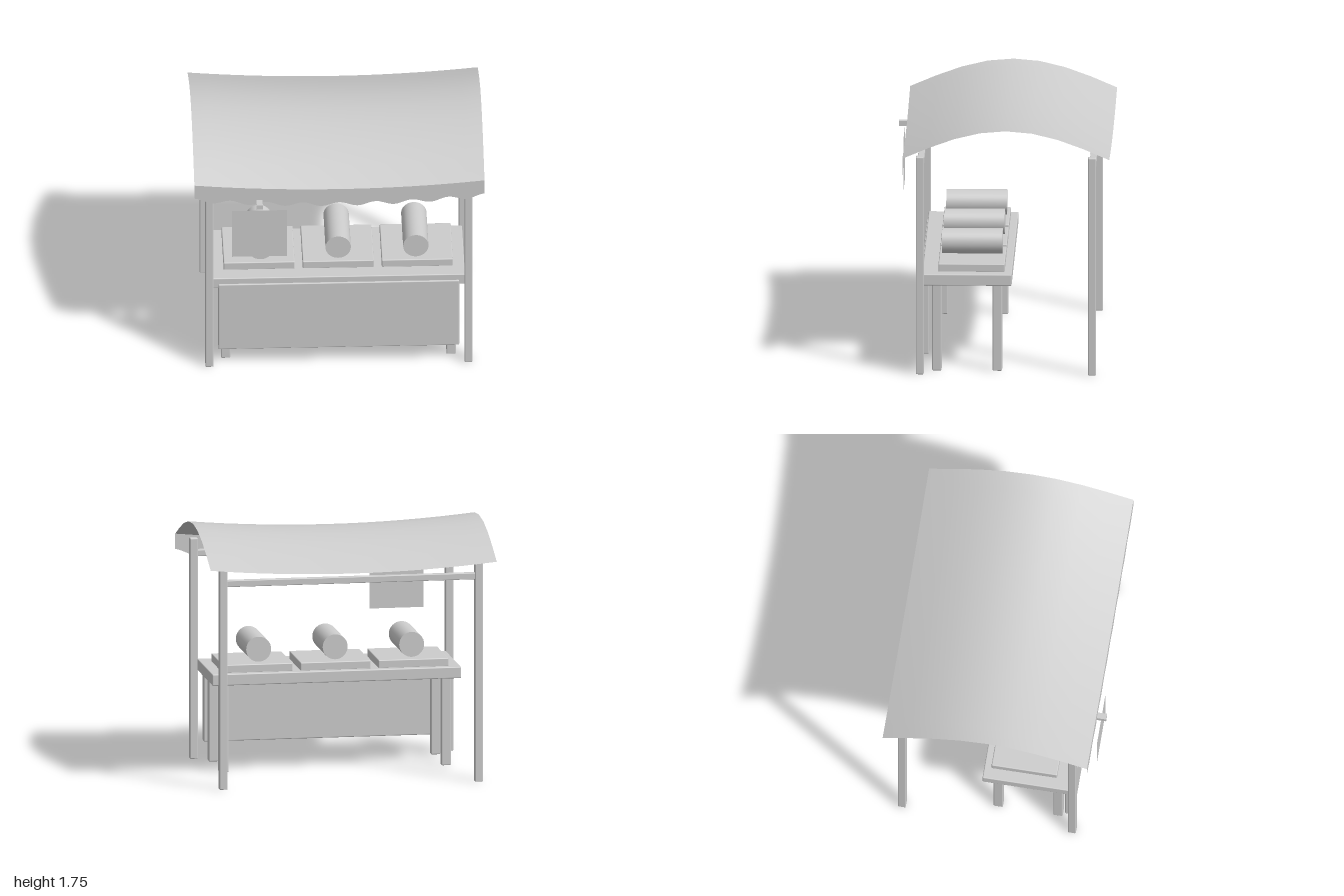
import * as THREE from 'three';
import { RoundedBoxGeometry } from 'three/addons/geometries/RoundedBoxGeometry.js';

export function createModel() {
  const group = new THREE.Group();
  group.name = 'marketStall';

  const grey = new THREE.MeshStandardMaterial({ color: 0xcccccc });
  grey.name = 'grey';
  const greyCloth = new THREE.MeshStandardMaterial({ color: 0xcccccc, side: THREE.DoubleSide });
  greyCloth.name = 'grey cloth';

  const add = (name, geometry, material = grey) => {
    const mesh = new THREE.Mesh(geometry, material);
    mesh.name = name;
    group.add(mesh);
    return mesh;
  };

  // Softly bevelled box given by its extents on each axis
  const box = (name, [x0, x1], [y0, y1], [z0, z1], bevel = 0.007) =>
    add(name, new RoundedBoxGeometry(x1 - x0, y1 - y0, z1 - z0, 2, bevel))
      .position.set((x0 + x1) / 2, (y0 + y1) / 2, (z0 + z1) / 2);
  const span = (centre, size) => [centre - size / 2, centre + size / 2];

  // Canopy: arched from front to back, sagging towards the middle
  const frontZ = 0.68, backZ = -0.746;
  const edgeY = (x) => 1.505 + 0.05 * x * x;
  const canopy = new THREE.PlaneGeometry(2, frontZ - backZ, 16, 8);
  canopy.rotateX(-Math.PI / 2);
  canopy.translate(0, 0, (frontZ + backZ) / 2);
  const cp = canopy.attributes.position;
  for (let i = 0; i < cp.count; i++) {
    const t = (cp.getZ(i) - backZ) / (frontZ - backZ);
    cp.setY(i, edgeY(cp.getX(i)) + 0.2 * Math.sin(Math.PI * t));
  }
  canopy.computeVertexNormals();
  add('canopy', canopy, greyCloth);

  // Valance with a wavy lower hem
  const valance = new THREE.PlaneGeometry(2, 1, 80, 1);
  const vp = valance.attributes.position;
  for (let i = 0; i < vp.count; i++) {
    const x = vp.getX(i);
    const drop = vp.getY(i) > 0 ? 0 : 0.122 - 0.015 * Math.cos(8 * Math.PI * x);
    vp.setXYZ(i, x, edgeY(x) - drop, frontZ);
  }
  add('valance', valance, greyCloth);

  // Posts and the cross beams joining them
  for (const z of [0.562, -0.625]) {
    for (const x of [-0.893, 0.893]) box('post', span(x, 0.055), [0, 1.545], span(z, 0.055));
    box('crossBeam', [-0.88, 0.88], [1.418, 1.463], span(z, 0.045), 0.005);
  }

  // Table
  box('tableTop', [-0.87, 0.87], [0.62, 0.7], [-0.07, 0.548]);
  for (const x of [-0.777, 0.777])
    for (const z of [0.03, 0.447]) box('tableLeg', span(x, 0.065), [0, 0.63], span(z, 0.065));
  box('frontPanel', [-0.83, 0.83], [0.125, 0.655], [0.5, 0.56]);

  // Trays, each with a roll of goods
  for (const side of [-1, 0, 1]) {
    box('tray', span(side * 0.545, 0.49), [0.695, 0.755], [-0.02, 0.437]);
    const roll = new THREE.CylinderGeometry(0.0875, 0.0875, 0.417, 32);
    roll.rotateX(Math.PI / 2);
    add('roll', roll).position.set(side * 0.535, 0.855, 0.208);
  }

  // Hanging sign and its bracket
  add('signBracket', new THREE.BoxGeometry(0.043, 0.036, 0.205)).position.set(-0.552, 1.408, 0.6425);
  add('sign', new THREE.PlaneGeometry(0.376, 0.376), greyCloth).position.set(-0.552, 1.17, 0.707);

  return group;
}
